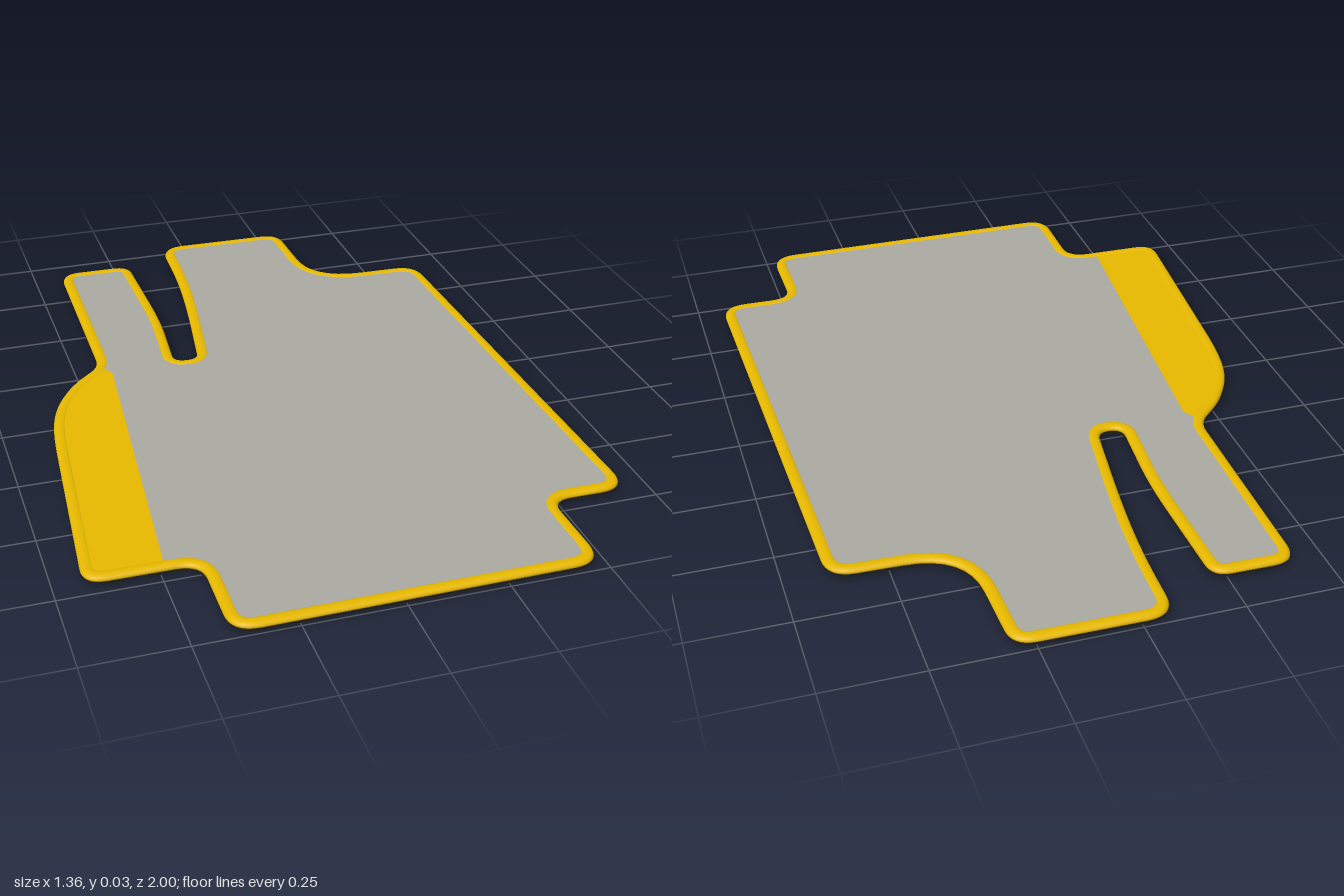
import * as THREE from 'three';
import { mergeGeometries } from 'three/addons/utils/BufferGeometryUtils.js';

const carpetMat = new THREE.MeshStandardMaterial({ name: 'grey carpet', color: 0xa9a9a2 });
const trimMat = new THREE.MeshStandardMaterial({ name: 'gold trim', color: 0xe6b800 });
const backingMat = new THREE.MeshStandardMaterial({ name: 'black rubber', color: 0x1f1f1f });

// Outline corners: x, z, rounding length; clockwise seen from above
const CORNERS = [
  [-0.077, -1, 0.07], [0.309, -0.994, 0.06], [0.317, -0.645, 0.15], [0.648, -0.635, 0.07],
  [0.664, 0, 0.1], [0.682, 0.724, 0.07], [0.477, 0.721, 0.06], [0.48, 0.996, 0.07],
  [-0.411, 1, 0.07], [-0.407, 0.732, 0.06], [-0.684, 0.73, 0.06], [-0.623, 0.04, 0.12],
  [-0.59, -0.085, 0.06], [-0.525, -0.19, 0.05], [-0.434, -0.275, 0.045], [-0.423, -0.898, 0.06],
  [-0.209, -0.894, 0.05], [-0.202, -0.5, 0.1], [-0.226, -0.24, 0.04], [-0.158, -0.236, 0.04],
  [-0.11, -0.54, 0.15], [-0.085, -0.76, 0.15],
];

// Round every corner with a short quadratic curve
function roundedLoop(corners, steps = 8) {
  const n = corners.length, loop = [];
  const vec = (c) => new THREE.Vector2(c[0], c[1]);
  corners.forEach((c, i) => {
    const p = vec(c);
    const toward = (q) => {
      const d = q.clone().sub(p);
      return p.clone().addScaledVector(d.clone().normalize(), Math.min(c[2], d.length() * 0.48));
    };
    const a = toward(vec(corners[(i + n - 1) % n])), b = toward(vec(corners[(i + 1) % n]));
    loop.push(...new THREE.QuadraticBezierCurve(a, p, b).getPoints(steps));
  });
  return loop;
}

// Move a loop inward by a fixed distance
function inset(loop, d) {
  const n = loop.length;
  return loop.map((p, i) => {
    const a = p.clone().sub(loop[(i + n - 1) % n]).normalize();
    const b = loop[(i + 1) % n].clone().sub(p).normalize();
    const t = a.add(b).normalize();
    return new THREE.Vector2(p.x - t.y * d, p.y + t.x * d);
  });
}

// Flat slab filling a loop, between two heights
function slab(loop, bottom, top) {
  const g = new THREE.ExtrudeGeometry(new THREE.Shape(loop), { depth: top - bottom, bevelEnabled: false });
  return g.rotateX(Math.PI / 2).translate(0, top, 0);
}

// Rolled edge binding swept round the outline; profile is [inset, y]
function binding(loop, profile) {
  const n = loop.length, pos = [], idx = [];
  profile.forEach(([d, y]) => inset(loop, d).forEach((p) => pos.push(p.x, y, p.y)));
  for (let j = 0; j < profile.length - 1; j++) {
    for (let i = 0; i < n; i++) {
      const k = (i + 1) % n, a = j * n + i, b = j * n + k;
      idx.push(a, a + n, b, b, a + n, b + n);
    }
  }
  const g = new THREE.BufferGeometry();
  g.setAttribute('position', new THREE.Float32BufferAttribute(pos, 3));
  g.setIndex(idx);
  g.computeVertexNormals();
  return g;
}

function inside(loop, x, z) {
  let hit = false;
  loop.forEach((a, i) => {
    const b = loop[(i + 1) % loop.length];
    if ((a.y > z) !== (b.y > z) && x < a.x + ((b.x - a.x) * (z - a.y)) / (b.y - a.y)) hit = !hit;
  });
  return hit;
}

// Small grip spikes under the backing
function gripNubs(loop, spacing) {
  const nub = new THREE.ConeGeometry(0.005, 0.006, 4, 1, true).rotateX(Math.PI).translate(0, 0.003, 0);
  const nubs = [];
  for (let x = -0.67; x < 0.68; x += spacing) {
    for (let z = -0.99; z < 1; z += spacing) {
      if (inside(loop, x, z)) nubs.push(nub.clone().translate(x, 0, z));
    }
  }
  return mergeGeometries(nubs);
}

export function createModel() {
  const mat = new THREE.Group();
  mat.name = 'floorMat';
  const add = (name, geometry, material) => {
    const mesh = new THREE.Mesh(geometry, material);
    mesh.name = name;
    mat.add(mesh);
  };

  const outline = roundedLoop(CORNERS);
  add('rubberBacking', slab(inset(outline, 0.003), 0.005, 0.0135), backingMat);
  add('gripNubs', gripNubs(inset(outline, 0.01), 0.016), backingMat);
  add('carpet', slab(inset(outline, 0.022), 0.0135, 0.0245), carpetMat);
  add('edgeBinding', binding(outline, [
    [0.003, 0.0125], [0.0005, 0.015], [0, 0.018], [0.002, 0.0225], [0.007, 0.026],
    [0.015, 0.027], [0.023, 0.0264], [0.028, 0.025], [0.03, 0.023],
  ]), trimMat);

  // Footrest panel: the strip of carpet left of a slanted line
  const lineX = (z) => -0.41 - 0.089 * (z + 0.19);
  const panel = inset(outline, 0.022).filter((p) => p.y > -0.26 && p.y < 0.72 && p.x < lineX(p.y));
  panel.push(new THREE.Vector2(lineX(-0.22), -0.22), new THREE.Vector2(lineX(0.708), 0.708));
  add('footrestPanel', slab(panel, 0.022, 0.025), trimMat);

  return mat;
}
